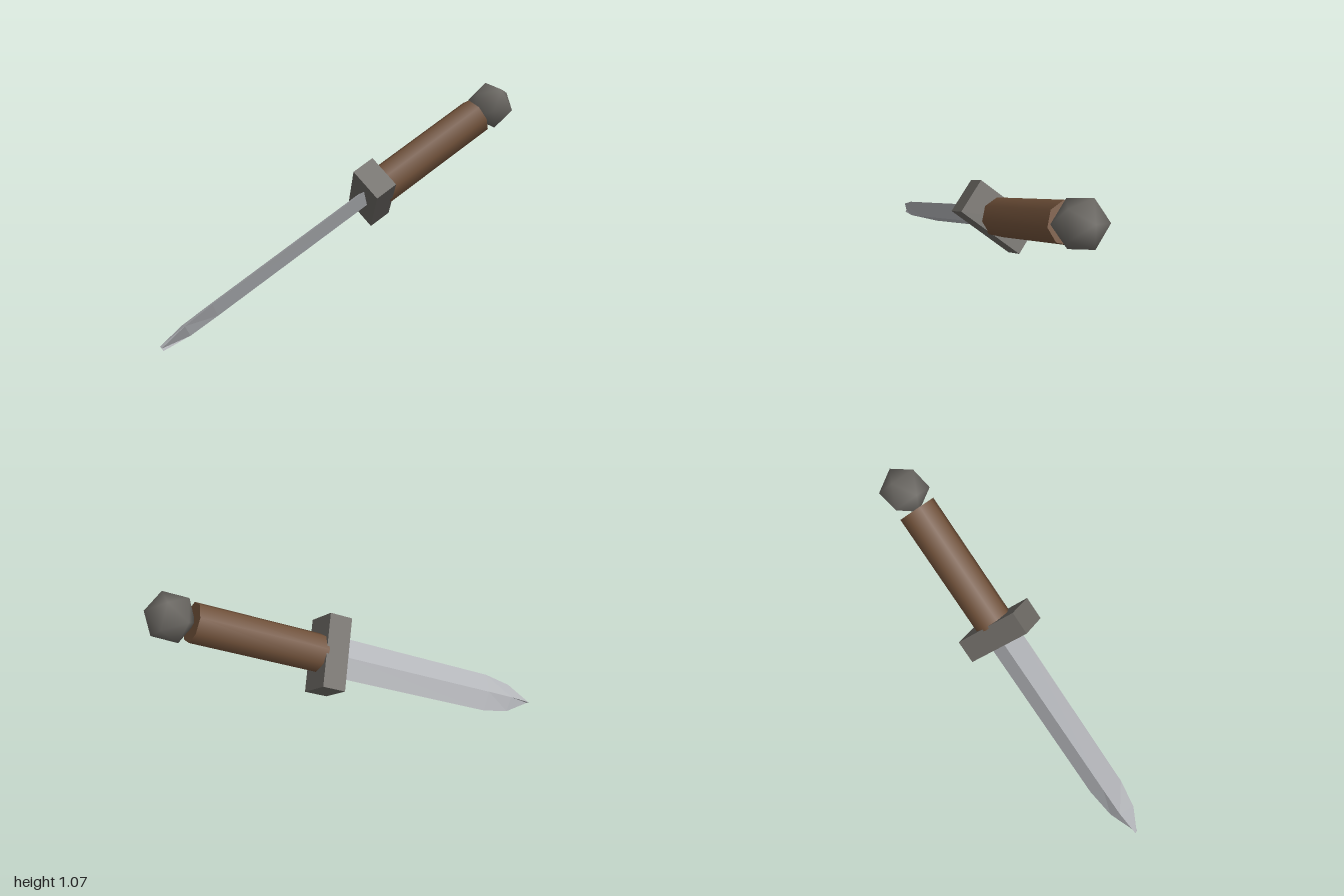
import * as THREE from 'three';
import { mergeVertices } from 'three/addons/utils/BufferGeometryUtils.js';

const steel = new THREE.MeshStandardMaterial({ color: 0xb2b4b8 });
steel.name = 'blade steel';
const iron = new THREE.MeshStandardMaterial({ color: 0x6a6762 });
iron.name = 'dark iron';
const leather = new THREE.MeshStandardMaterial({ color: 0x6f5039 });
leather.name = 'brown leather';

// Diamond-section blade: each ring is [y, half width, half thickness]
function bladeGeometry() {
  const rings = [
    [0.01, 0.104, 0.036],
    [-0.93, 0.1, 0.035],
    [-1.09, 0.075, 0.033],
    [-1.232, 0.002, 0.014],
  ];
  const geo = new THREE.CylinderGeometry(1, 1, 1, 4, rings.length - 1);
  const p = geo.attributes.position;
  for (let i = 0; i < p.count; i++) {
    const [y, w, t] = rings[Math.round((0.5 - p.getY(i)) * (rings.length - 1))];
    p.setXYZ(i, p.getX(i) * w, y, p.getZ(i) * t);
  }
  const flat = geo.toNonIndexed();
  flat.computeVertexNormals();
  return flat;
}

// Smooth-shaded icosahedron standing on one corner
function pommelGeometry(radius) {
  let geo = new THREE.IcosahedronGeometry(radius, 0);
  geo.deleteAttribute('normal');
  geo.deleteAttribute('uv');
  geo = mergeVertices(geo, 1e-4);
  geo.rotateZ(-Math.atan(2 / (1 + Math.sqrt(5))));
  geo.computeVertexNormals();
  return geo;
}

export function createModel() {
  const dagger = new THREE.Group();
  dagger.name = 'dagger';
  const add = (name, geometry, material, y) => {
    const mesh = new THREE.Mesh(geometry, material);
    mesh.name = name;
    mesh.position.y = y;
    dagger.add(mesh);
  };

  // Parts are stacked along y, with the guard's front face at y = 0
  add('blade', bladeGeometry(), steel, 0);
  add('guard', new THREE.BoxGeometry(0.37, 0.122, 0.181), iron, 0.061);
  add('handle', new THREE.CylinderGeometry(0.098, 0.098, 0.673, 8), leather, 0.4465);
  add('pommel', pommelGeometry(0.123), iron, 0.889);

  // Lean the dagger: grip up and back, blade tip down at the front
  const along = new THREE.Vector3(0.1036, 0.4496, -0.8875).normalize();
  const across = new THREE.Vector3(0.635, 0.649, 0.419);
  const side = new THREE.Vector3().crossVectors(across, along).normalize();
  across.crossVectors(along, side);
  dagger.quaternion.setFromRotationMatrix(new THREE.Matrix4().makeBasis(across, along, side));
  dagger.position.set(-0.0115, 0.565, -0.1);

  const model = new THREE.Group();
  model.name = 'model';
  model.add(dagger);
  return model;
}
